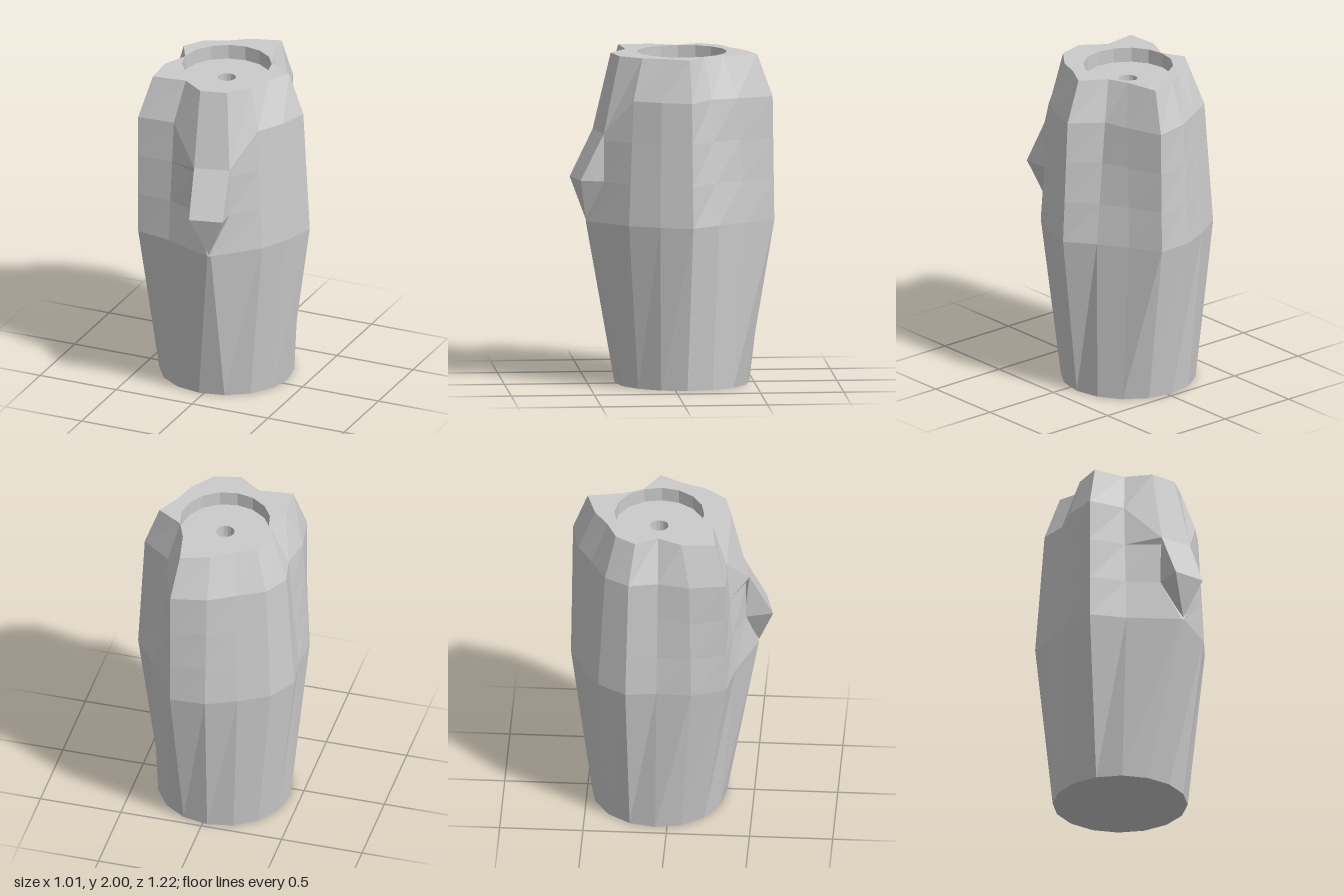
import * as THREE from 'three';
import { ConvexGeometry } from 'three/addons/geometries/ConvexGeometry.js';

const SIDES = 16;
const CX = -0.03, CZ = -0.07;

// Outlines as [x, z] pairs, clockwise seen from above
const WAIST = [
  [0.165, -0.61], [0.27, -0.43], [0.38, -0.26], [0.505, -0.095],
  [0.45, 0.1], [0.36, 0.28], [0.13, 0.515], [0.11, 0.52],
  [-0.2, 0.4], [-0.42, 0.355], [-0.495, 0.15], [-0.485, -0.06],
  [-0.51, -0.245], [-0.405, -0.415], [-0.23, -0.52], [-0.05, -0.6],
];
const SHOULDER = [
  [0.165, -0.6], [0.245, -0.38], [0.285, -0.225], [0.465, -0.09],
  [0.41, 0.09], [0.32, 0.25], [0.21, 0.42], [0, 0.47],
  [-0.19, 0.345], [-0.42, 0.355], [-0.455, 0.135], [-0.42, -0.055],
  [-0.455, -0.23], [-0.37, -0.375], [-0.2, -0.47], [-0.05, -0.555],
];
const TOP = [
  [0.13, -0.51], [0.17, -0.3], [0.22, -0.18], [0.375, -0.085],
  [0.3, 0.05], [0.25, 0.19], [0.15, 0.32], [-0.01, 0.36],
  [-0.15, 0.26], [-0.355, 0.285], [-0.365, 0.085], [-0.3, -0.06],
  [-0.37, -0.195], [-0.295, -0.315], [-0.17, -0.37], [-0.045, -0.455],
];

const ring = (outline, y) => outline.map(([x, z]) => [x, y, z]);

function circle(r, y) {
  return Array.from({ length: SIDES }, (_, i) => {
    const a = ((i + 1) / SIDES) * Math.PI * 2;
    return [CX + r * Math.sin(a), y, CZ - r * Math.cos(a)];
  });
}

// Ring between waist and shoulder; the two corners behind the spout stay put
function between(y) {
  const t = (y - 1) / 0.75;
  const r = WAIST.map(([x, z], i) => [
    x + (SHOULDER[i][0] - x) * t, y, z + (SHOULDER[i][1] - z) * t,
  ]);
  r[6] = [0.21, y, 0.42];
  r[7] = [0, y, 0.45];
  return r;
}

// Join successive rings with outward facing quads
function loft(rings) {
  const pos = [];
  for (let k = 0; k < rings.length - 1; k++) {
    const a = rings[k], b = rings[k + 1];
    for (let i = 0; i < SIDES; i++) {
      const j = (i + 1) % SIDES;
      pos.push(...a[j], ...a[i], ...b[i], ...a[j], ...b[i], ...b[j]);
    }
  }
  const g = new THREE.BufferGeometry();
  g.setAttribute('position', new THREE.Float32BufferAttribute(pos, 3));
  g.computeVertexNormals();
  return g;
}

export function createModel() {
  const group = new THREE.Group();
  group.name = 'facetedVessel';
  const material = new THREE.MeshStandardMaterial({ color: 0xcccccc, flatShading: true });

  const add = (name, geometry) => {
    const mesh = new THREE.Mesh(geometry, material);
    mesh.name = name;
    group.add(mesh);
  };

  // The front ridge runs unbroken from the rim down to the spout
  const shoulder = ring(SHOULDER, 1.75);
  shoulder[6][1] = shoulder[7][1] = 1.54;

  // Body with grooved sides and round base
  const top = ring(TOP, 2);
  add('body', loft([
    circle(0, 0), circle(0.405, 0), ring(WAIST, 1),
    between(1.25), between(1.5), shoulder, top,
  ]));

  // Rim, shallow recess and small central hole
  add('rimAndRecess', loft([
    top, circle(0.27, 2), circle(0.27, 1.91),
    circle(0.055, 1.91), circle(0.055, 1.83), circle(0, 1.83),
  ]));

  // Pointed spout on the front
  const spoutPoints = [
    [0, 1.54, 0.47], [0.21, 1.54, 0.42],
    [0.03, 1.26, 0.61], [0.23, 1.26, 0.56],
    [0, 1.25, 0.44], [0.21, 1.25, 0.41], [0.12, 1.01, 0.52],
  ].map((p) => new THREE.Vector3(...p));
  add('spout', new ConvexGeometry(spoutPoints));

  return group;
}
